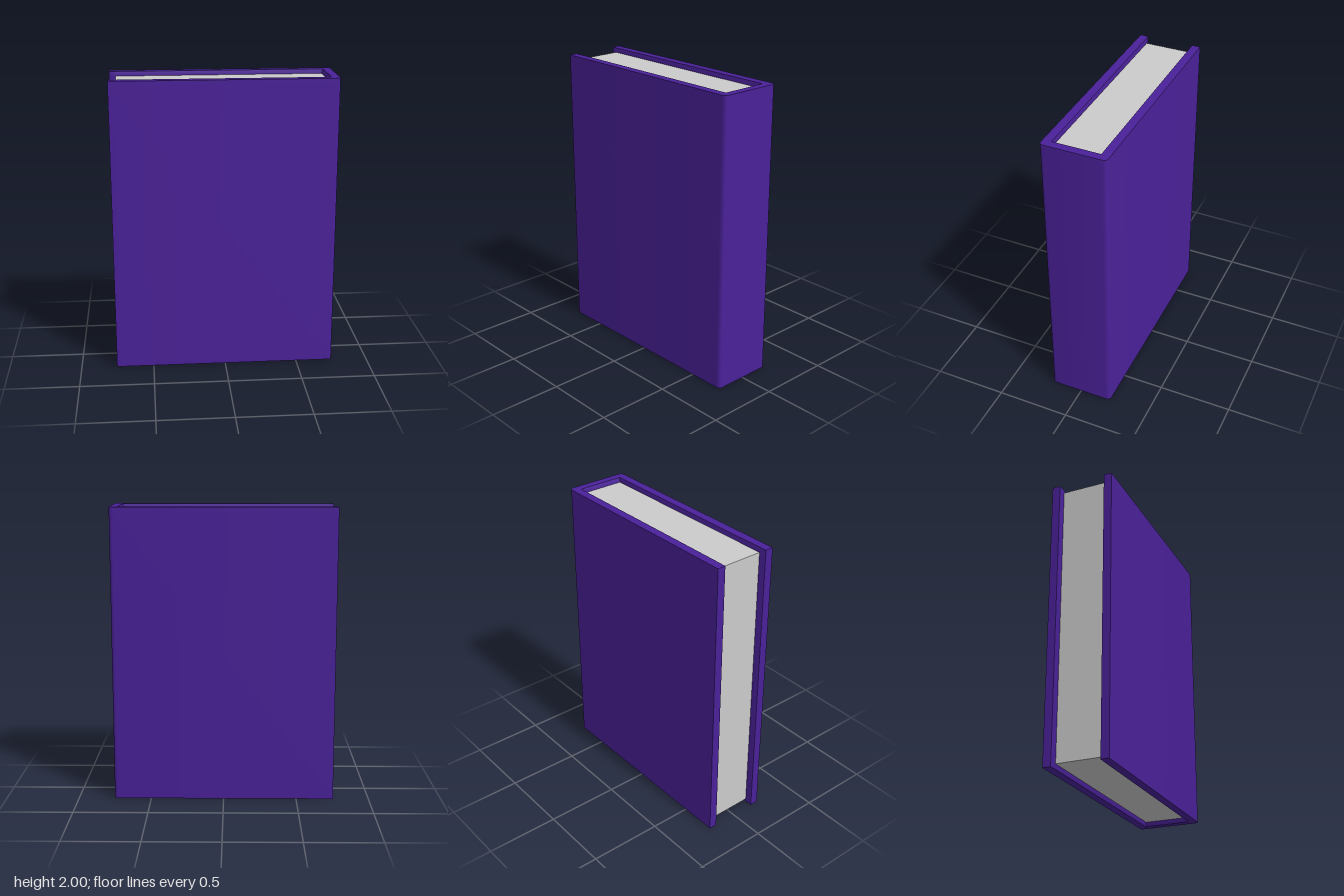
import * as THREE from 'three';
import { toCreasedNormals } from 'three/addons/utils/BufferGeometryUtils.js';

const HEIGHT = 2, RECESS = 0.03;   // pages sit slightly inside the cover
const W = 0.755, D = 0.22, R = 0.03;
const PAGE_X = 0.69, PAGE_Z = 0.155, PAGE_FORE = -0.71;

// U-shaped section: two boards joined by a spine with rounded outer corners
function coverGeometry() {
  const s = new THREE.Shape();
  s.moveTo(-W, -D);
  s.lineTo(W - R, -D);
  s.quadraticCurveTo(W, -D, W, -D + R);
  s.lineTo(W, D - R);
  s.quadraticCurveTo(W, D, W - R, D);
  s.lineTo(-W, D);
  s.lineTo(-W, PAGE_Z + 0.009);
  s.lineTo(PAGE_FORE, PAGE_Z);
  s.lineTo(PAGE_X, PAGE_Z);
  s.lineTo(PAGE_X, -PAGE_Z);
  s.lineTo(PAGE_FORE, -PAGE_Z);
  s.lineTo(-W, -PAGE_Z - 0.009);
  s.closePath();

  const geo = new THREE.ExtrudeGeometry(s, { depth: HEIGHT, steps: 3, bevelEnabled: false, curveSegments: 4 });
  geo.rotateX(Math.PI / 2).translate(0, HEIGHT, 0);

  // Gather the middle levels at the page ends and flare the inner lips open
  const levels = [0, RECESS, HEIGHT - RECESS, HEIGHT];
  const p = geo.attributes.position;
  for (let i = 0; i < p.count; i++) {
    const level = Math.round(p.getY(i) * 3 / HEIGHT);
    const x = p.getX(i), z = p.getZ(i);
    p.setY(i, levels[level]);
    const inner = Math.abs(Math.abs(z) - PAGE_Z) < 0.001;
    if (inner && (level === 0 || level === 3)) {
      p.setZ(i, z + Math.sign(z) * 0.007);
      if (x > 0) p.setX(i, x + 0.01);
    }
  }
  return toCreasedNormals(geo, 0.5);
}

export function createModel() {
  const book = new THREE.Group();
  book.name = 'book';

  const cover = new THREE.Mesh(coverGeometry(), new THREE.MeshStandardMaterial({ color: 0x4a2199 }));
  cover.name = 'cover';

  // Page block
  const pages = new THREE.Mesh(
    new THREE.BoxGeometry(PAGE_X - PAGE_FORE, HEIGHT - 2 * RECESS, 2 * PAGE_Z),
    new THREE.MeshStandardMaterial({ color: 0xcccccc })
  );
  pages.name = 'pages';
  pages.position.set((PAGE_X + PAGE_FORE) / 2, HEIGHT / 2, 0);

  book.add(cover, pages);
  return book;
}
